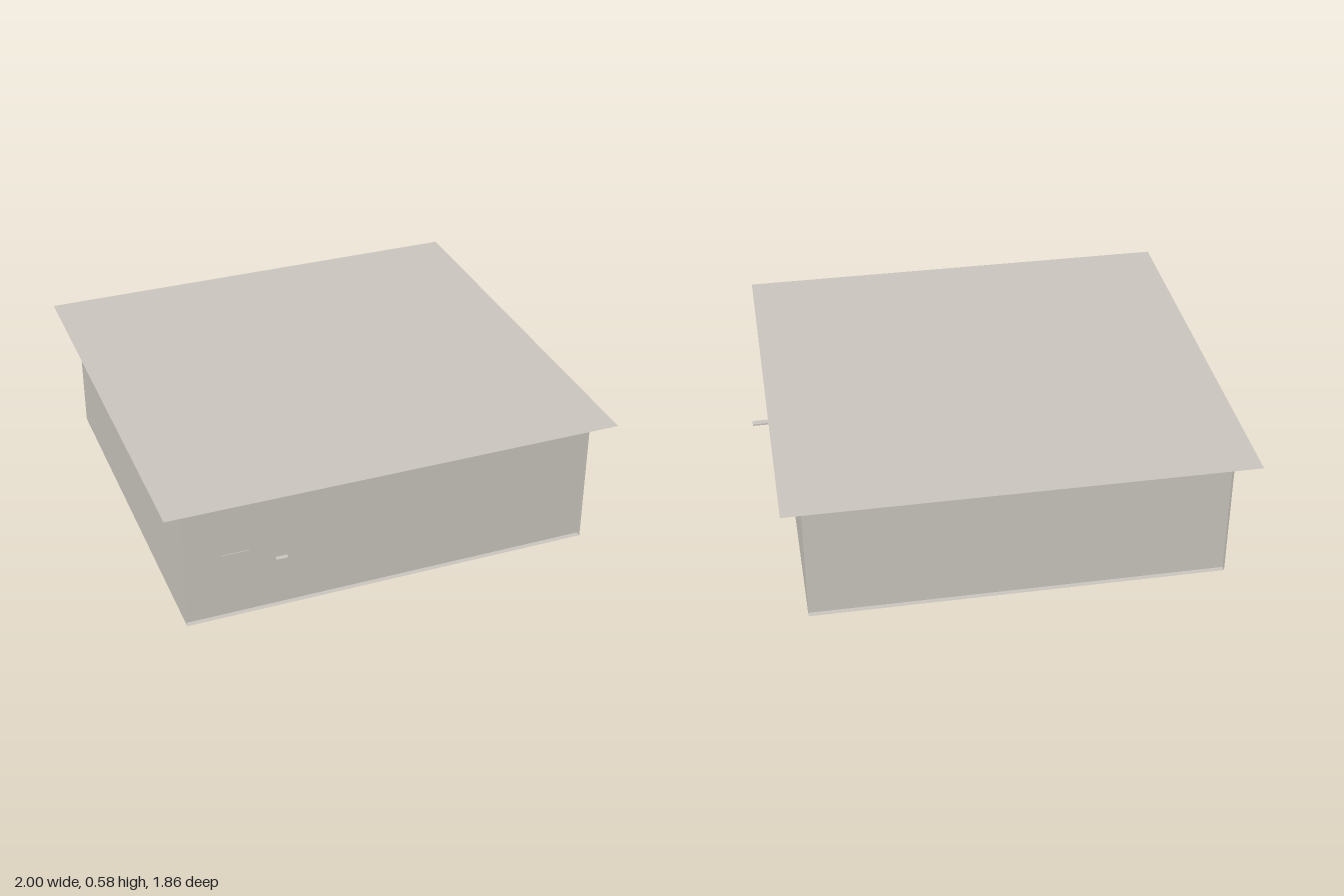
import * as THREE from 'three';

export function createModel() {
  const model = new THREE.Group();
  model.name = 'flatRoofedBox';
  const stone = new THREE.MeshStandardMaterial({ color: 0xc9c5bd, side: THREE.DoubleSide });
  stone.name = 'warm grey';

  const add = (name, geometry, x, y, z) => {
    const mesh = new THREE.Mesh(geometry, stone);
    mesh.name = name;
    mesh.position.set(x, y, z);
    model.add(mesh);
  };
  const box = (name, x0, x1, y0, y1, z0, z1) => add(
    name, new THREE.BoxGeometry(x1 - x0, y1 - y0, z1 - z0),
    (x0 + x1) / 2, (y0 + y1) / 2, (z0 + z1) / 2);

  const H = 0.585, left = 0.855, right = -0.91, front = 0.845, back = -0.84;
  const midX = (left + right) / 2, midZ = (front + back) / 2;
  const width = left - right, depth = front - back, inset = 0.022;

  // Overhanging sheet roof and floor sheet
  add('roof', new THREE.PlaneGeometry(1.94, 1.855).rotateX(-Math.PI / 2), -0.03, H, -0.003);
  add('floor', new THREE.PlaneGeometry(width, depth).rotateX(Math.PI / 2), midX, 0, midZ);

  // Side walls run full depth; front and back walls sit slightly inside them
  add('leftWall', new THREE.PlaneGeometry(depth, H).rotateY(Math.PI / 2), left, H / 2, midZ);
  add('rightWall', new THREE.PlaneGeometry(depth, H).rotateY(-Math.PI / 2), right, H / 2, midZ);
  add('frontWall', new THREE.PlaneGeometry(width, H), midX, H / 2, front - inset);
  add('backWall', new THREE.PlaneGeometry(width, H).rotateY(Math.PI), midX, H / 2, back + inset);

  // Raised panel and projecting tab on the left wall
  box('sidePanel', left - 0.003, left + 0.003, 0.11, 0.285, -0.195, 0.122);
  box('sideTab', left - 0.003, 1, 0.131, 0.139, 0.398, 0.427);

  // Small plate and knob on the front wall
  const face = front - inset;
  box('frontPlate', -0.75, -0.632, 0.23, 0.293, face - 0.002, face + 0.003);
  box('frontKnob', -0.525, -0.475, 0.221, 0.229, face - 0.002, face + 0.02);

  return model;
}
